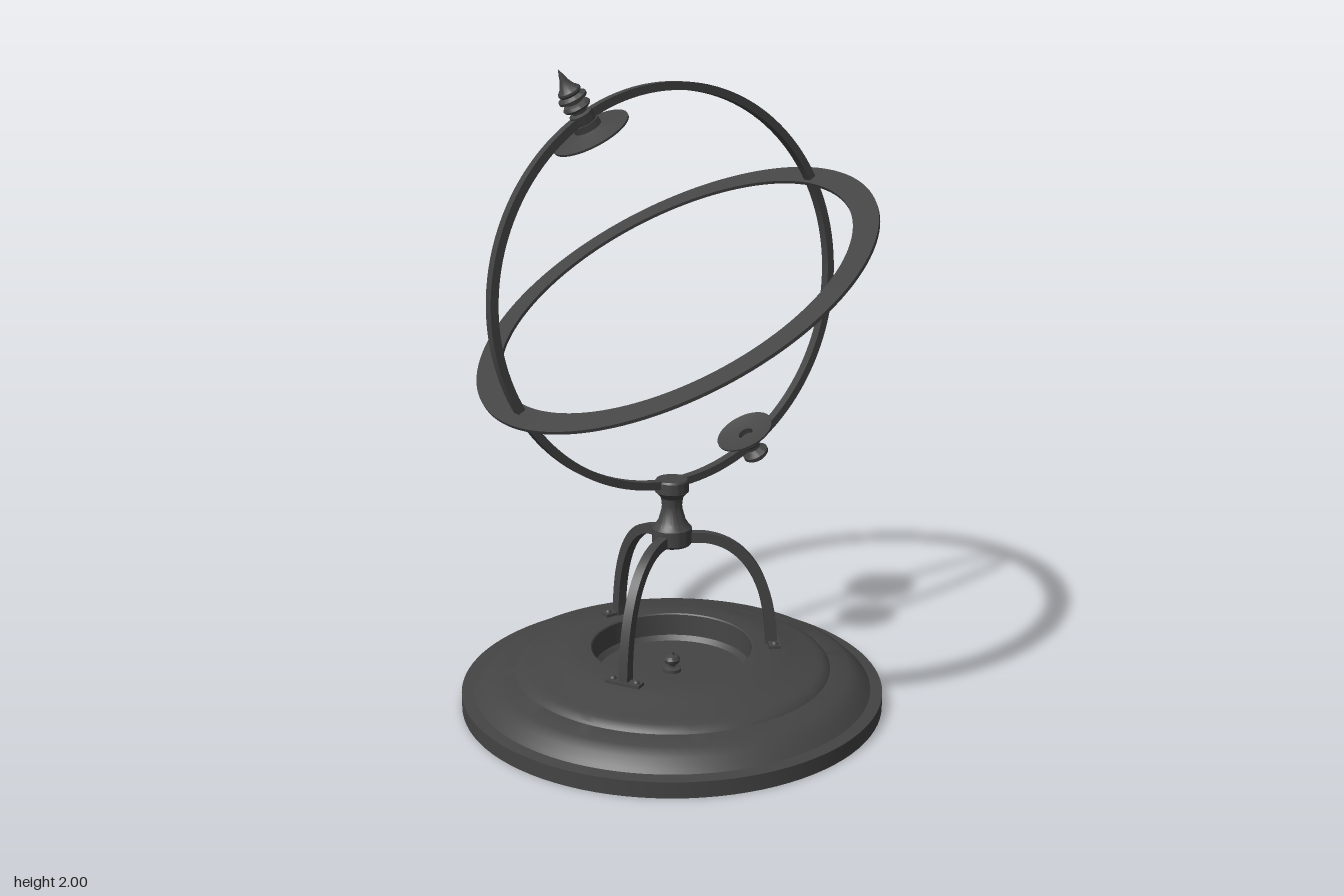
import * as THREE from 'three';
import { toCreasedNormals } from 'three/addons/utils/BufferGeometryUtils.js';

const metal = new THREE.MeshStandardMaterial({ color: 0x444444 });
const TILT = Math.PI / 6;
const CENTRE_Y = 1.335;

function part(name, geometry, parent) {
  const mesh = new THREE.Mesh(geometry, metal);
  mesh.name = name;
  parent.add(mesh);
  return mesh;
}

// Turned solid; profile runs bottom to top along the outside
function turned(points, segments = 48) {
  const profile = points.map(([r, y]) => new THREE.Vector2(r, y));
  return toCreasedNormals(new THREE.LatheGeometry(profile, segments), 0.5);
}

// Flat-sided hoop
function hoop(inner, outer, width) {
  const h = width / 2;
  return turned([[inner, -h], [outer, -h], [outer, h], [inner, h], [inner, -h]], 128);
}

function createLeg() {
  const leg = new THREE.Group();
  // Curved bar swept from hub to foot
  const bar = new THREE.Shape();
  bar.moveTo(0.03, 0.56);
  bar.lineTo(0.1, 0.558);
  bar.bezierCurveTo(0.25, 0.54, 0.335, 0.4, 0.34, 0.17);
  bar.lineTo(0.303, 0.17);
  bar.bezierCurveTo(0.3, 0.38, 0.225, 0.51, 0.1, 0.525);
  bar.lineTo(0.03, 0.527);
  bar.closePath();
  const geometry = new THREE.ExtrudeGeometry(bar, { depth: 0.03, bevelEnabled: false, curveSegments: 24 });
  geometry.translate(0, 0, -0.015);
  part('legBar', toCreasedNormals(geometry, 0.5), leg);

  // Foot plate with two rivets
  part('footPlate', new THREE.BoxGeometry(0.038, 0.01, 0.115), leg).position.set(0.328, 0.179, 0);
  for (const side of [-1, 1]) {
    const rivet = part('rivet', new THREE.SphereGeometry(0.011, 16, 6, 0, Math.PI * 2, 0, Math.PI / 2), leg);
    rivet.position.set(0.328, 0.183, side * 0.04);
  }
  return leg;
}

export function createModel() {
  const model = new THREE.Group();
  model.name = 'globeStand';

  // Stepped round base with a sunken dish
  part('base', turned([
    [0, 0], [0.678, 0], [0.678, 0.05], [0.64, 0.054], [0.63, 0.064], [0.605, 0.088],
    [0.573, 0.106], [0.51, 0.113], [0.504, 0.12], [0.485, 0.132], [0.46, 0.136],
    [0.38, 0.16], [0.34, 0.17], [0.3, 0.175], [0.262, 0.176], [0.258, 0.172],
    [0.255, 0.1], [0.24, 0.085], [0, 0.085],
  ], 96), model);

  // Small knob in the middle of the dish
  part('dishKnob', turned([
    [0.03, 0.085], [0.03, 0.095], [0.012, 0.1], [0.012, 0.107], [0.024, 0.115],
    [0.027, 0.125], [0.02, 0.136], [0.008, 0.141], [0.006, 0.15], [0, 0.152],
  ], 24), model);

  // Tripod, one leg to the back and two to the front
  for (let i = 0; i < 3; i++) {
    const leg = createLeg();
    leg.name = 'leg';
    leg.rotation.y = Math.PI / 2 + i * Math.PI * 2 / 3;
    model.add(leg);
  }

  // Hub and neck carrying the meridian hoop
  part('hub', turned([
    [0, 0.52], [0.058, 0.52], [0.063, 0.527], [0.063, 0.575], [0.056, 0.582], [0.05, 0.592],
    [0.044, 0.6], [0.034, 0.635], [0.032, 0.65], [0.035, 0.675], [0.045, 0.688],
    [0.053, 0.695], [0.053, 0.73], [0.049, 0.736], [0, 0.736],
  ]), model);

  // Upright meridian hoop
  const meridian = part('meridianHoop', hoop(0.6, 0.625, 0.03), model);
  meridian.rotation.x = Math.PI / 2;
  meridian.position.y = CENTRE_Y;

  // Parts aligned with the tilted axis
  const axis = new THREE.Group();
  axis.name = 'tiltedAxis';
  axis.position.y = CENTRE_Y;
  axis.rotation.z = TILT;
  model.add(axis);
  part('equatorHoop', hoop(0.587, 0.668, 0.01), axis);

  // Upper pole: shallow cap disc and pointed finial
  part('upperDisc', turned([
    [0, 0.568], [0.06, 0.565], [0.12, 0.559], [0.12, 0.565], [0.06, 0.575], [0.042, 0.58], [0.04, 0.6], [0, 0.6],
  ]), axis);
  part('finial', turned([
    [0.035, 0.58], [0.035, 0.628], [0.022, 0.632], [0.022, 0.64], [0.038, 0.645],
    [0.042, 0.652], [0.036, 0.66], [0.024, 0.664], [0.024, 0.669], [0.043, 0.674],
    [0.043, 0.682], [0.03, 0.69], [0.035, 0.697], [0.034, 0.703], [0.022, 0.715],
    [0.012, 0.735], [0.006, 0.755], [0, 0.77],
  ], 32), axis);

  // Lower pole: disc with a bored hub and a flared knob
  part('lowerDisc', turned([
    [0.03, -0.6], [0.04, -0.59], [0.045, -0.58], [0.095, -0.569], [0.095, -0.563],
    [0.045, -0.572], [0.024, -0.572], [0.024, -0.6], [0.03, -0.6],
  ]), axis);
  part('lowerKnob', turned([
    [0, -0.668], [0.034, -0.668], [0.042, -0.661], [0.042, -0.65], [0.034, -0.642],
    [0.025, -0.632], [0.025, -0.622], [0.033, -0.612], [0.033, -0.59], [0, -0.59],
  ], 32), axis);

  return model;
}
